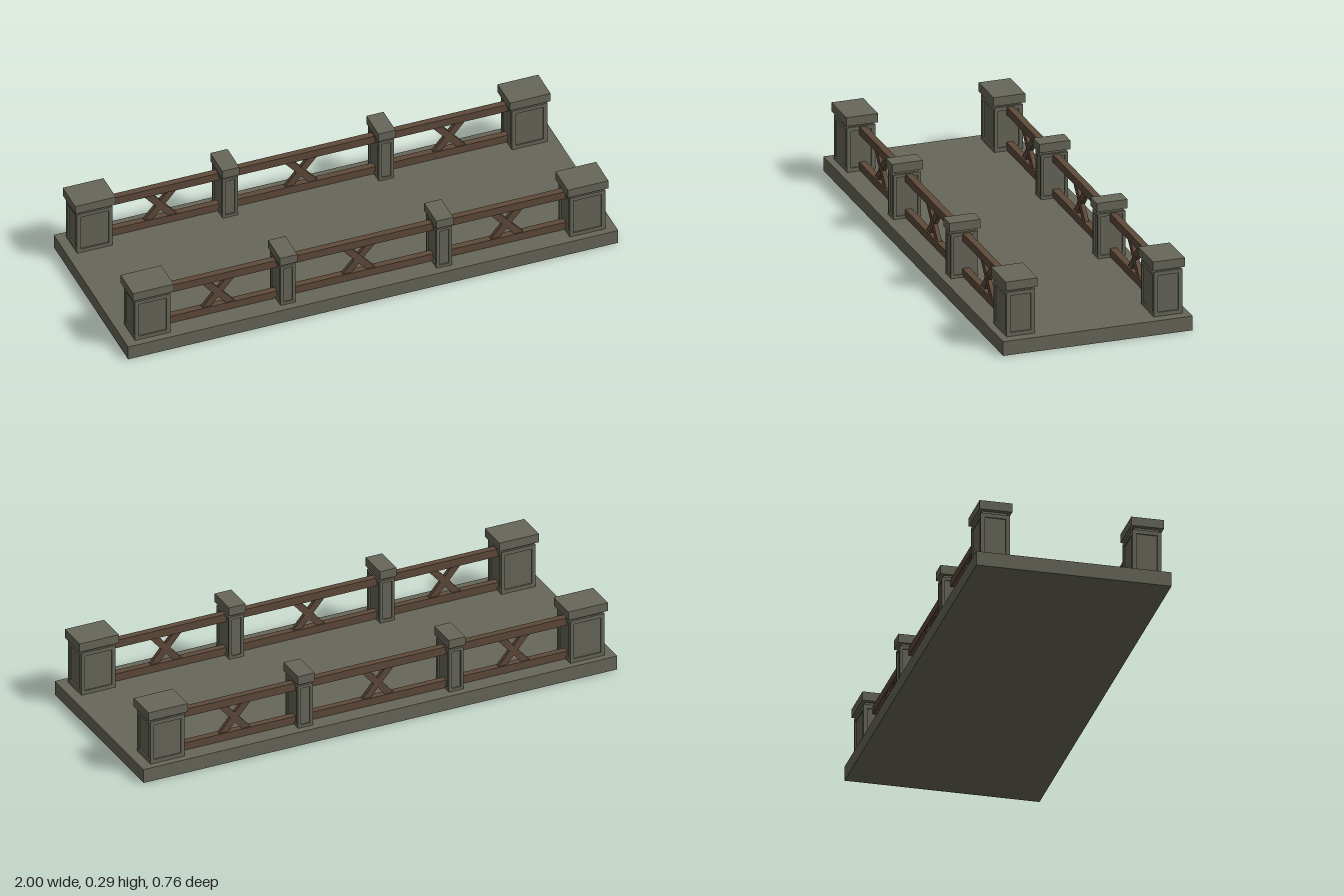
import * as THREE from 'three';

const stone = new THREE.MeshStandardMaterial({ color: 0x68675a });
const wood = new THREE.MeshStandardMaterial({ color: 0x5e4a3a });

// Box given by its centre in x and z, its bottom and its top
function block(parent, name, material, w, d, y0, y1, x = 0, z = 0) {
  const mesh = new THREE.Mesh(new THREE.BoxGeometry(w, y1 - y0, d), material);
  mesh.name = name;
  mesh.position.set(x, (y0 + y1) / 2, z);
  parent.add(mesh);
  return mesh;
}

const DECK = 0.058, BODY_TOP = 0.24, CAP_BOTTOM = 0.251, CAP_TOP = 0.287;

// Stone post with a recessed panel on each side, a neck and a cap
function post(name, w, d, frame, capW, capD) {
  const group = new THREE.Group();
  group.name = name;
  const recess = 0.005;
  block(group, 'panelCore', stone, w - 2 * recess, d - 2 * recess, DECK, BODY_TOP);
  for (const sx of [-1, 1]) {
    for (const sz of [-1, 1]) {
      block(group, 'cornerStile', stone, frame, frame, DECK, BODY_TOP, sx * (w - frame) / 2, sz * (d - frame) / 2);
    }
  }
  block(group, 'bottomBand', stone, w, d, DECK, DECK + frame);
  block(group, 'topBand', stone, w, d, BODY_TOP - frame, BODY_TOP);
  block(group, 'neck', stone, w - 0.016, d - 0.016, BODY_TOP, CAP_BOTTOM);
  block(group, 'cap', stone, capW, capD, CAP_BOTTOM, CAP_TOP);
  return group;
}

// Two crossed wooden braces between the rails
function crossBrace(x) {
  const group = new THREE.Group();
  group.name = 'crossBrace';
  const y0 = 0.082, y1 = 0.212, run = 0.112;
  const length = Math.hypot(run, y1 - y0);
  for (const s of [-1, 1]) {
    const bar = new THREE.Mesh(new THREE.BoxGeometry(0.028, length, 0.016), wood);
    bar.name = 'braceBar';
    bar.position.set(x, (y0 + y1) / 2, s * 0.001);
    bar.rotation.z = s * Math.atan2(run, y1 - y0);
    group.add(bar);
  }
  return group;
}

// One side of the bridge: four posts, two rails and three braces
function balustrade(name, postZ, railZ) {
  const group = new THREE.Group();
  group.name = name;
  for (const x of [-0.888, 0.886]) {
    const corner = post('cornerPost', 0.145, 0.115, 0.016, 0.166, 0.128);
    corner.position.set(x, 0, postZ);
    group.add(corner);
  }
  for (const x of [-0.335, 0.302]) {
    const middle = post('middlePost', 0.062, 0.11, 0.012, 0.07, 0.124);
    middle.position.set(x, 0, postZ);
    group.add(middle);
  }
  const rails = new THREE.Group();
  rails.name = 'railing';
  rails.position.z = railZ;
  block(rails, 'topRail', wood, 1.66, 0.027, 0.204, 0.237);
  block(rails, 'bottomRail', wood, 1.66, 0.027, 0.06, 0.092);
  for (const x of [-0.598, -0.024, 0.58]) rails.add(crossBrace(x));
  group.add(rails);
  return group;
}

export function createModel() {
  const model = new THREE.Group();
  model.name = 'stoneBridge';
  block(model, 'deck', stone, 2, 0.764, 0, DECK);
  model.add(balustrade('frontBalustrade', 0.296, 0.289));
  model.add(balustrade('backBalustrade', -0.298, -0.305));
  return model;
}
